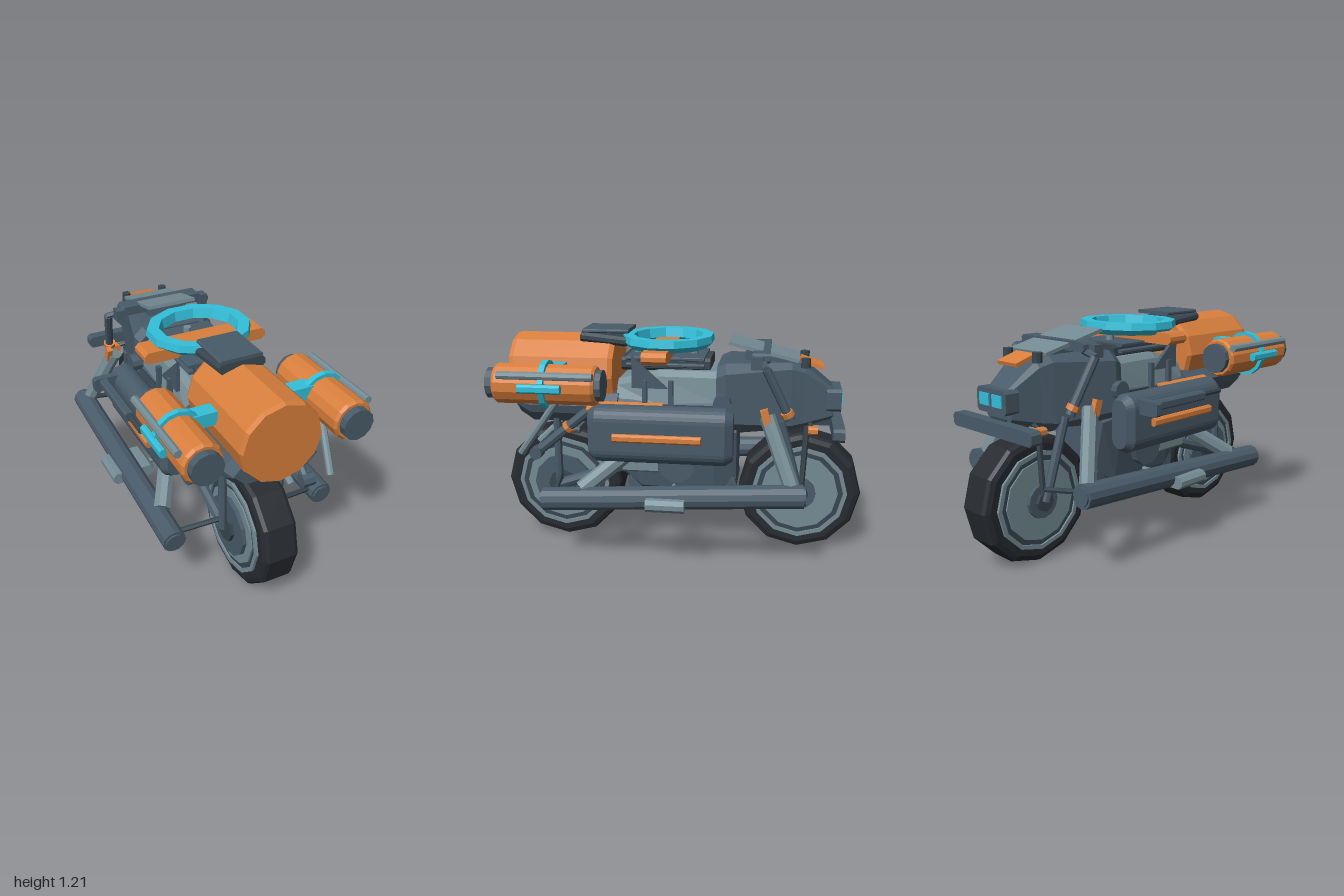
import * as THREE from 'three';

const mat = (name, color) => Object.assign(new THREE.MeshStandardMaterial({ color }), { name });
const slate = mat('slate', 0x495b69), dark = mat('dark slate', 0x38464f), rubber = mat('rubber', 0x272b30);
const steel = mat('steel', 0x758c95), orange = mat('orange', 0xd97f3d), cyan = mat('cyan', 0x33c0da);
const V = (x, y, z) => new THREE.Vector3(x, y, z);

export function createModel() {
  const model = new THREE.Group();
  model.name = 'motorcycle';

  // Adds a faceted mesh
  function add(name, geo, material, x = 0, y = 0, z = 0, rx = 0, ry = 0, rz = 0) {
    const g = geo.index ? geo.toNonIndexed() : geo;
    g.computeVertexNormals();
    const mesh = new THREE.Mesh(g, material);
    mesh.name = name;
    mesh.position.set(x, y, z);
    mesh.rotation.set(rx, ry, rz);
    model.add(mesh);
    return mesh;
  }
  const box = (w, h, d) => new THREE.BoxGeometry(w, h, d);
  // Box with its four long edges along z chamfered
  function chamferBox(w, h, d, c) {
    const a = w / 2, b = h / 2;
    const s = new THREE.Shape([[a - c, -b], [a, -b + c], [a, b - c], [a - c, b], [-a + c, b], [-a, b - c], [-a, -b + c], [-a + c, -b]]
      .map(p => new THREE.Vector2(...p)));
    return new THREE.ExtrudeGeometry(s, { depth: d, bevelEnabled: false }).translate(0, 0, -d / 2);
  }
  // Straight tube between two points
  function rod(name, a, b, r, material, n = 8) {
    const d = b.clone().sub(a), m = a.clone().add(b).multiplyScalar(0.5);
    const mesh = add(name, new THREE.CylinderGeometry(r, r, d.length(), n), material, m.x, m.y, m.z);
    mesh.quaternion.setFromUnitVectors(V(0, 1, 0), d.normalize());
    return mesh;
  }
  const lathe = (pts, n) => new THREE.LatheGeometry(pts.map(p => new THREE.Vector2(...p)), n);
  const axleDisc = (r, w, n = 12) => new THREE.CylinderGeometry(r, r, w, n).rotateZ(Math.PI / 2);
  // Shell from sections along z: [z, bottom half width, top half width, bottom y, top y, chamfer]
  function loft(sections) {
    const rings = sections.map(([z, wb, wt, y0, y1, c]) => [
      V(wb - c, y0, z), V(wb, y0 + c, z), V(wt, y1 - c, z), V(wt - c, y1, z),
      V(-wt + c, y1, z), V(-wt, y1 - c, z), V(-wb, y0 + c, z), V(-wb + c, y0, z)]);
    const out = [], n = 8;
    for (let k = 0; k + 1 < rings.length; k++) for (let i = 0; i < n; i++) {
      const A = rings[k], B = rings[k + 1], j = (i + 1) % n;
      out.push(A[i], A[j], B[j], A[i], B[j], B[i]);
    }
    const first = rings[0], last = rings[rings.length - 1];
    for (let i = 1; i + 1 < n; i++) out.push(first[0], first[i + 1], first[i], last[0], last[i], last[i + 1]);
    return new THREE.BufferGeometry().setFromPoints(out);
  }
  const both = fn => [1, -1].forEach(fn);

  // Wheels: tyre, stepped rim rings and hub
  for (const z of [0.665, -0.665]) {
    const wheel = (name, pts, m) => add(name, lathe(pts, 12).rotateZ(Math.PI / 2), m, 0, 0.335, z);
    wheel('tyre', [[0.24, -0.095], [0.3, -0.098], [0.325, -0.088], [0.335, -0.07], [0.335, 0.07], [0.325, 0.088], [0.3, 0.098], [0.24, 0.095], [0.24, -0.095]], rubber);
    wheel('rimOuter', [[0.24, -0.11], [0.262, -0.11], [0.262, 0.11], [0.24, 0.11], [0.24, -0.11]], steel);
    wheel('rimGroove', [[0.19, -0.1], [0.245, -0.1], [0.245, 0.1], [0.19, 0.1], [0.19, -0.1]], dark);
    wheel('rimInner', [[0, -0.108], [0.212, -0.108], [0.212, 0.108], [0, 0.108]], steel);
    add('brakeDisc', axleDisc(z > 0 ? 0.165 : 0.09, 0.26), slate, 0, 0.335, z);
    add('hub', axleDisc(z > 0 ? 0.08 : 0.05, 0.3, 8), dark, 0, 0.335, z);
  }

  // Engine block with cross barrels
  add('engine', loft([[-0.32, 0.14, 0.2, 0.38, 0.72, 0.03], [-0.2, 0.17, 0.22, 0.32, 0.74, 0.03], [0.2, 0.17, 0.22, 0.33, 0.74, 0.03], [0.32, 0.14, 0.2, 0.42, 0.74, 0.03]]), slate);
  for (const z of [-0.24, 0.2]) add('engineBarrel', axleDisc(0.085, 0.3), slate, 0, 0.37, z);
  both(s => {
    add('engineCover', axleDisc(0.1, 0.05, 10), slate, s * 0.2, 0.5, 0);
    add('enginePlate', chamferBox(0.04, 0.18, 0.2, 0.012), steel, s * 0.2, 0.54, 0.2);
  });

  // Upper body: tank, spine, bands and the front cowl
  add('frameSpine', loft([[-0.3, 0.2, 0.22, 0.7, 0.86, 0.02], [0.5, 0.16, 0.2, 0.7, 0.85, 0.02]]), slate);
  add('fuelTank', loft([[-0.26, 0.21, 0.19, 0.8, 1.01, 0.03], [0.1, 0.21, 0.18, 0.8, 1.01, 0.03], [0.33, 0.19, 0.15, 0.8, 0.95, 0.03]]), steel);
  add('tankTop', chamferBox(0.26, 0.07, 0.48, 0.015), dark, 0, 1.035, 0.07);
  for (const y of [1.035, 1.07]) add('tankBand', chamferBox(0.32, 0.018, 0.42, 0.004), slate, 0, y, 0.07);
  for (const z of [-0.07, 0.24]) add('tankCap', new THREE.CylinderGeometry(0.022, 0.022, 0.03, 8), steel, 0, 1.09, z);
  add('frontCowl', loft([[-0.82, 0.1, 0.09, 0.76, 0.92, 0.015], [-0.67, 0.14, 0.13, 0.71, 1.04, 0.03], [-0.6, 0.17, 0.15, 0.7, 1.06, 0.03],
    [-0.26, 0.245, 0.235, 0.7, 1.06, 0.05], [-0.21, 0.235, 0.22, 0.72, 1.04, 0.05]]), slate);
  add('lowerCowl', loft([[-0.62, 0.09, 0.11, 0.69, 0.78, 0.015], [-0.25, 0.14, 0.2, 0.66, 0.78, 0.02]]), slate);
  add('windscreen', box(0.28, 0.018, 0.38), steel, 0, 1.115, -0.45, -0.23);
  add('screenMount', box(0.2, 0.06, 0.24), slate, 0, 1.075, -0.47, -0.2);
  add('dashBar', chamferBox(0.48, 0.05, 0.09, 0.012), slate, 0, 1.1, -0.44);
  add('noseFlash', box(0.15, 0.02, 0.125), orange, 0, 1.045, -0.705, -0.3);
  add('headlampHousing', chamferBox(0.23, 0.12, 0.08, 0.015), slate, 0, 0.86, -0.825);
  add('bumper', chamferBox(0.63, 0.07, 0.06, 0.015), slate, 0, 0.725, -0.847);
  add('bumperMount', box(0.12, 0.06, 0.14), dark, 0, 0.74, -0.76);
  both(s => {
    add('headlamp', box(0.075, 0.06, 0.009), cyan, s * 0.05, 0.865, -0.868);
    add('frontIndicator', chamferBox(0.05, 0.04, 0.05, 0.01), orange, s * 0.185, 0.715, -0.72);
    rod('indicatorStalk', V(s * 0.1, 0.74, -0.7), V(s * 0.185, 0.72, -0.72), 0.012, dark, 6);
    add('cowlBolt', new THREE.CylinderGeometry(0.025, 0.025, 0.05, 8), dark, s * 0.115, 1.06, -0.67);
    add('cowlKnob', axleDisc(0.048, 0.06, 10), slate, s * 0.24, 0.86, -0.245);
    add('dashEnd', box(0.045, 0.065, 0.06), slate, s * 0.257, 1.08, -0.42);
    // Body side bars and triangular fin
    for (const z of [0.17, 0.03]) add('sideBar', box(0.025, 0.15, 0.025), slate, s * 0.215, 0.89, z);
    const fin = new THREE.Shape([[-0.24, 0.92], [-0.05, 0.92], [-0.24, 1.09]].map(p => new THREE.Vector2(...p)));
    add('sideFin', new THREE.ExtrudeGeometry(fin, { depth: 0.02, bevelEnabled: false }), slate, s * 0.2 - 0.01, 0, 0, 0, Math.PI / 2);
    add('sideTrim', box(0.09, 0.012, 0.4), orange, s * 0.265, 0.828, 0.27, 0, 0, -s * 0.3);
  });

  // Ring, handlebar and seat pad
  add('ring', lathe([[0.2, 1.13], [0.24, 1.115], [0.28, 1.145], [0.274, 1.182], [0.212, 1.182], [0.2, 1.13]], 12)
    .rotateY(Math.PI / 12).scale(1, 1, 0.9), cyan, 0, 0, 0.07);
  add('handlebar', chamferBox(0.69, 0.062, 0.13, 0.02), orange, 0, 1.1, 0.1);
  add('seatBase', chamferBox(0.25, 0.05, 0.25, 0.015), dark, 0, 1.16, 0.41, -0.1);
  add('seatPad', chamferBox(0.23, 0.02, 0.25, 0.006), slate, 0, 1.203, 0.4);

  // Rear drum in its cradle
  add('drum', lathe([[0, 0], [0.2, 0], [0.213, 0.025], [0.213, 0.545], [0.205, 0.57], [0, 0.57]], 12).rotateX(Math.PI / 2), orange, 0, 0.965, 0.35);
  add('drumCradle', loft([[0.32, 0.23, 0.243, 0.715, 0.88, 0.06], [0.8, 0.23, 0.243, 0.715, 0.88, 0.06], [0.875, 0.21, 0.225, 0.76, 0.87, 0.05]]), slate);
  add('rearCrossbar', chamferBox(0.5, 0.03, 0.05, 0.008), slate, 0, 0.685, 0.55);

  // Rounded outline shared by the saddle tanks
  const oval = new THREE.Shape();
  oval.absarc(0, 0.077, 0.05, 0, Math.PI, false);
  oval.absarc(0, -0.077, 0.05, Math.PI, 2 * Math.PI, false);

  both(s => {
    // Side canisters with caps, strap, rod, grip and bracket
    const x = s * 0.39, y = 0.97;
    add('canister', lathe([[0, 0], [0.095, 0], [0.105, 0.015], [0.105, 0.515], [0.095, 0.53], [0, 0.53]], 14).rotateX(Math.PI / 2), orange, x, y, 0.38);
    add('canisterCap', new THREE.CylinderGeometry(0.082, 0.082, 0.6, 12).rotateX(Math.PI / 2), slate, x, y, 0.65);
    add('canisterStrap', lathe([[0.1, -0.015], [0.125, -0.015], [0.125, 0.015], [0.1, 0.015], [0.1, -0.015]], 14).rotateX(Math.PI / 2), cyan, x, y, 0.645);
    rod('canisterRod', V(s * 0.492, 1.033, 0.38), V(s * 0.492, 1.033, 0.87), 0.021, steel);
    add('canisterGrip', chamferBox(0.035, 0.045, 0.22, 0.01), cyan, s * 0.513, 0.97, 0.65);
    add('canisterBracket', box(0.12, 0.07, 0.08), cyan, s * 0.26, 1.015, 0.63);

    // Saddle tanks with a stripe
    const tank = new THREE.ExtrudeGeometry(oval, { depth: 0.68, curveSegments: 6, bevelSize: 0.027, bevelThickness: 0.04, bevelSegments: 1 });
    add('saddleTank', tank, slate, s * 0.308, 0.697, -0.27);
    add('tankStripe', chamferBox(0.035, 0.042, 0.46, 0.01), orange, s * 0.398, 0.697, 0.08);

    // Long pipes, pads and struts
    rod('sidePipe', V(s * 0.43, 0.355, 0.68), V(s * 0.43, 0.437, -0.68), 0.062, slate, 12);
    rod('pipeEnd', V(s * 0.43, 0.354, 0.69), V(s * 0.43, 0.438, -0.69), 0.05, slate, 12);
    add('footPad', chamferBox(0.24, 0.065, 0.2, 0.02), steel, s * 0.417, 0.378, 0.02);
    rod('footBar', V(s * 0.12, 0.365, 0.02), V(s * 0.36, 0.365, 0.02), 0.012, steel, 6);
    rod('rearStrut', V(s * 0.41, 0.41, 0.48), V(s * 0.19, 0.68, 0.12), 0.045, steel);
    rod('frontStrut', V(s * 0.415, 0.44, -0.63), V(s * 0.28, 0.81, -0.48), 0.042, steel);
    rod('rearLink', V(s * 0.13, 0.4, 0.67), V(s * 0.42, 0.37, 0.63), 0.014, dark, 6);
    rod('frontLink', V(s * 0.13, 0.4, -0.67), V(s * 0.42, 0.45, -0.65), 0.014, dark, 6);

    // Rear frame and swing arm
    rod('rearFork', V(s * 0.16, 0.34, 0.675), V(s * 0.17, 0.76, 0.67), 0.022, slate);
    rod('swingArm', V(s * 0.15, 0.34, 0.67), V(s * 0.15, 0.48, 0.25), 0.03, slate);

    // Front fork with upper damper and collar
    rod('forkLower', V(s * 0.15, 0.34, -0.667), V(s * 0.17, 0.76, -0.55), 0.024, slate);
    rod('forkGuard', V(s * 0.14, 0.36, -0.675), V(s * 0.13, 0.72, -0.69), 0.016, dark, 6);
    rod('damper', V(s * 0.265, 0.79, -0.6), V(s * 0.305, 1.06, -0.47), 0.024, slate);
    rod('damperCollar', V(s * 0.267, 0.81, -0.59), V(s * 0.272, 0.835, -0.577), 0.034, orange);
    rod('damperMount', V(s * 0.2, 1.08, -0.45), V(s * 0.315, 1.06, -0.47), 0.018, slate, 6);
    add('forkFlash', box(0.03, 0.08, 0.04), orange, s * 0.315, 0.815, -0.475, 0.3);
  });

  // Left side only: hanging exhaust, stay and shock absorber
  rod('hangingExhaust', V(0.425, 0.9, 0.58), V(0.375, 0.59, 0.81), 0.02, steel);
  rod('rearStay', V(0.12, 0.76, 0.6), V(0.16, 0.59, 0.78), 0.02, steel);
  rod('shock', V(0.265, 0.8, 0.47), V(0.265, 0.56, 0.76), 0.026, slate);
  rod('shockCollar', V(0.265, 0.715, 0.57), V(0.265, 0.7, 0.588), 0.036, orange);
  add('shockFoot', axleDisc(0.035, 0.07, 8), slate, 0.27, 0.56, 0.76);

  // Right side only: slim tool beside the saddle tank
  add('toolHead', chamferBox(0.17, 0.075, 0.04, 0.01), slate, -0.415, 0.79, -0.22);
  add('toolBody', chamferBox(0.05, 0.05, 0.4, 0.01), slate, -0.445, 0.8, -0.02);
  rod('toolBarrel', V(-0.445, 0.805, 0.17), V(-0.445, 0.805, 0.33), 0.016, dark);

  return model;
}
